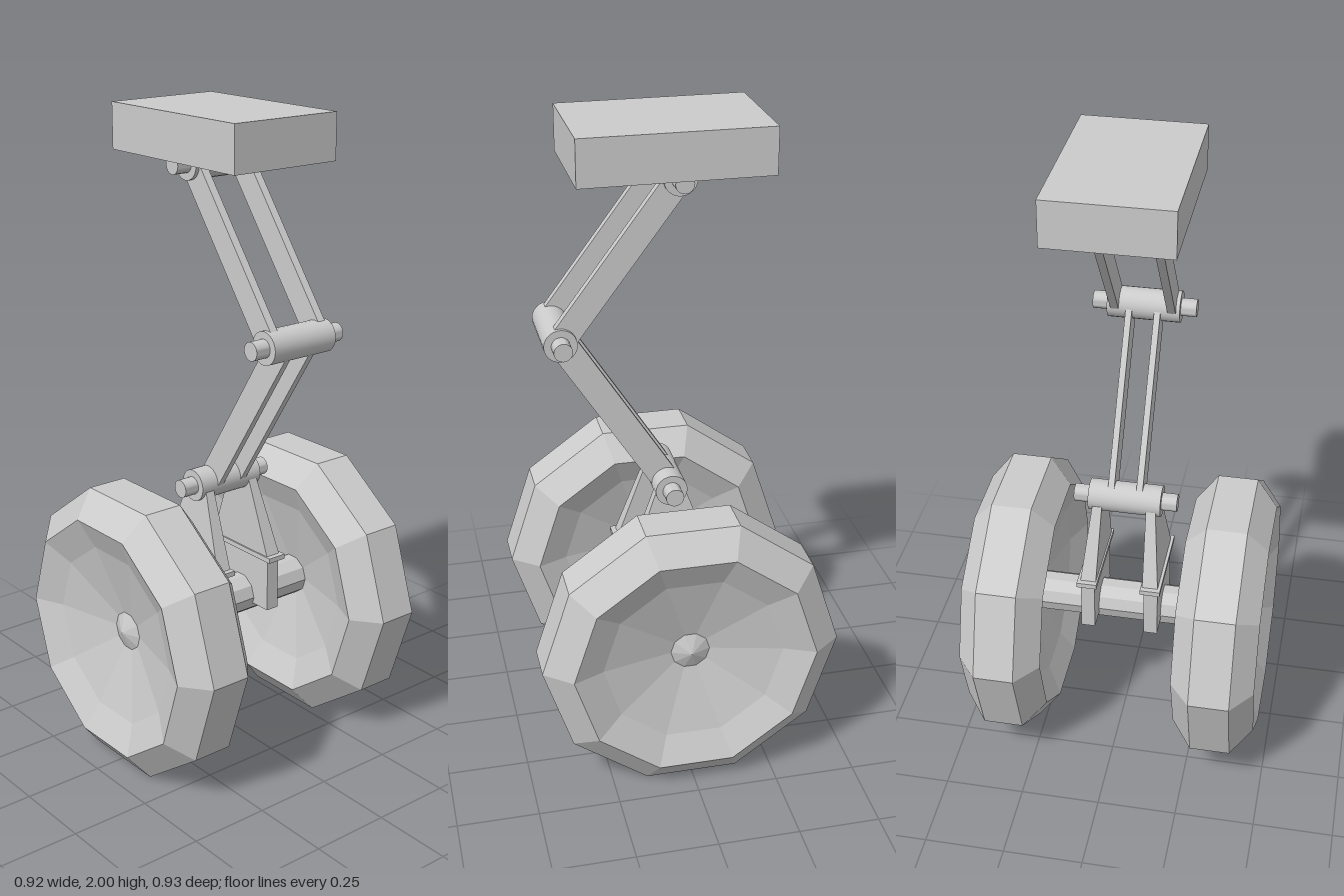
import * as THREE from 'three';
import { toCreasedNormals } from 'three/addons/utils/BufferGeometryUtils.js';

const flat = new THREE.MeshStandardMaterial({ color: 0xcccccc, flatShading: true });
const smooth = new THREE.MeshStandardMaterial({ color: 0xcccccc });

export function createModel() {
  const model = new THREE.Group();

  const add = (name, geometry, x, y, z, material = flat, parent = model) => {
    const mesh = new THREE.Mesh(geometry, material);
    mesh.name = name;
    mesh.position.set(x, y, z);
    parent.add(mesh);
    return mesh;
  };

  // Ten-sided solid of revolution along z, profile given as [radius, z]
  const decagonLathe = (profile) =>
    new THREE.LatheGeometry(profile.map(([r, z]) => new THREE.Vector2(r, z)), 10, Math.PI / 2)
      .rotateX(Math.PI / 2);

  const roundBar = (radius, length) =>
    toCreasedNormals(new THREE.CylinderGeometry(radius, radius, length, 24).rotateX(Math.PI / 2), 0.6);

  // Mounting block
  add('mountingBlock', new THREE.BoxGeometry(0.57, 0.14, 0.374), 0, 1.93, 0);

  // Hinges: a sleeve with a thinner pin passing through it
  const top = new THREE.Vector2(-0.025, 1.845);
  const knee = new THREE.Vector2(0.33, 1.37);
  const ankle = new THREE.Vector2(0, 0.855);
  for (const [name, p] of [['topHinge', top], ['kneeHinge', knee], ['ankleHinge', ankle]]) {
    const hinge = new THREE.Group();
    hinge.name = name;
    add('sleeve', roundBar(0.05, 0.23), p.x, p.y, 0, smooth, hinge);
    add('pin', roundBar(0.028, 0.328), p.x, p.y, 0, smooth, hinge);
    model.add(hinge);
  }

  // Paired flat arms between two hinges
  const armPair = (name, a, b, width, thickness, offset, overhang) => {
    const dir = b.clone().sub(a);
    for (const side of [-1, 1]) {
      const arm = add(name, new THREE.BoxGeometry(dir.length() + 2 * overhang, width, thickness),
        (a.x + b.x) / 2, (a.y + b.y) / 2, side * offset);
      arm.rotation.z = dir.angle();
    }
  };
  armPair('upperArm', top, knee, 0.08, 0.026, 0.09, 0);
  armPair('lowerArm', ankle, knee, 0.085, 0.02, 0.045, 0.015);

  // Fork legs: plate flaring downward, collar and lower plate
  const flare = new THREE.BoxGeometry(1, 1, 1);
  const pos = flare.attributes.position;
  for (let i = 0; i < pos.count; i++) {
    const upper = pos.getY(i) > 0;
    const outer = pos.getZ(i) > 0;
    pos.setXYZ(i, Math.sign(pos.getX(i)) * (upper ? 0.045 : 0.135), upper ? 0.85 : 0.6,
      outer ? (upper ? 0.1 : 0.125) : (upper ? 0.07 : 0.075));
  }
  for (const turn of [0, Math.PI]) {
    const leg = new THREE.Group();
    leg.name = 'forkLeg';
    leg.rotation.y = turn;
    add('flaredPlate', flare, 0, 0, 0, flat, leg);
    add('collar', new THREE.BoxGeometry(0.3, 0.016, 0.064), 0, 0.598, 0.102, flat, leg);
    add('lowerPlate', new THREE.BoxGeometry(0.26, 0.175, 0.044), 0, 0.505, 0.102, flat, leg);
    model.add(leg);
  }

  // Axle with slightly pointed ends
  add('axle', decagonLathe([[0, -0.395], [0.065, -0.37], [0.065, 0.37], [0, 0.395]]), 0, 0.4375, 0);

  // Wheels: bevelled tread, sloping rim and dished centre on both faces
  const half = [[0, 0.02], [0.28, 0.088], [0.375, 0.13], [0.46, 0.063]];
  const wheel = decagonLathe([...half.map(([r, z]) => [r, -z]), ...half.slice().reverse()]);
  for (const side of [-1, 1]) add('wheel', wheel, 0, 0.4375, side * 0.337);

  return model;
}
